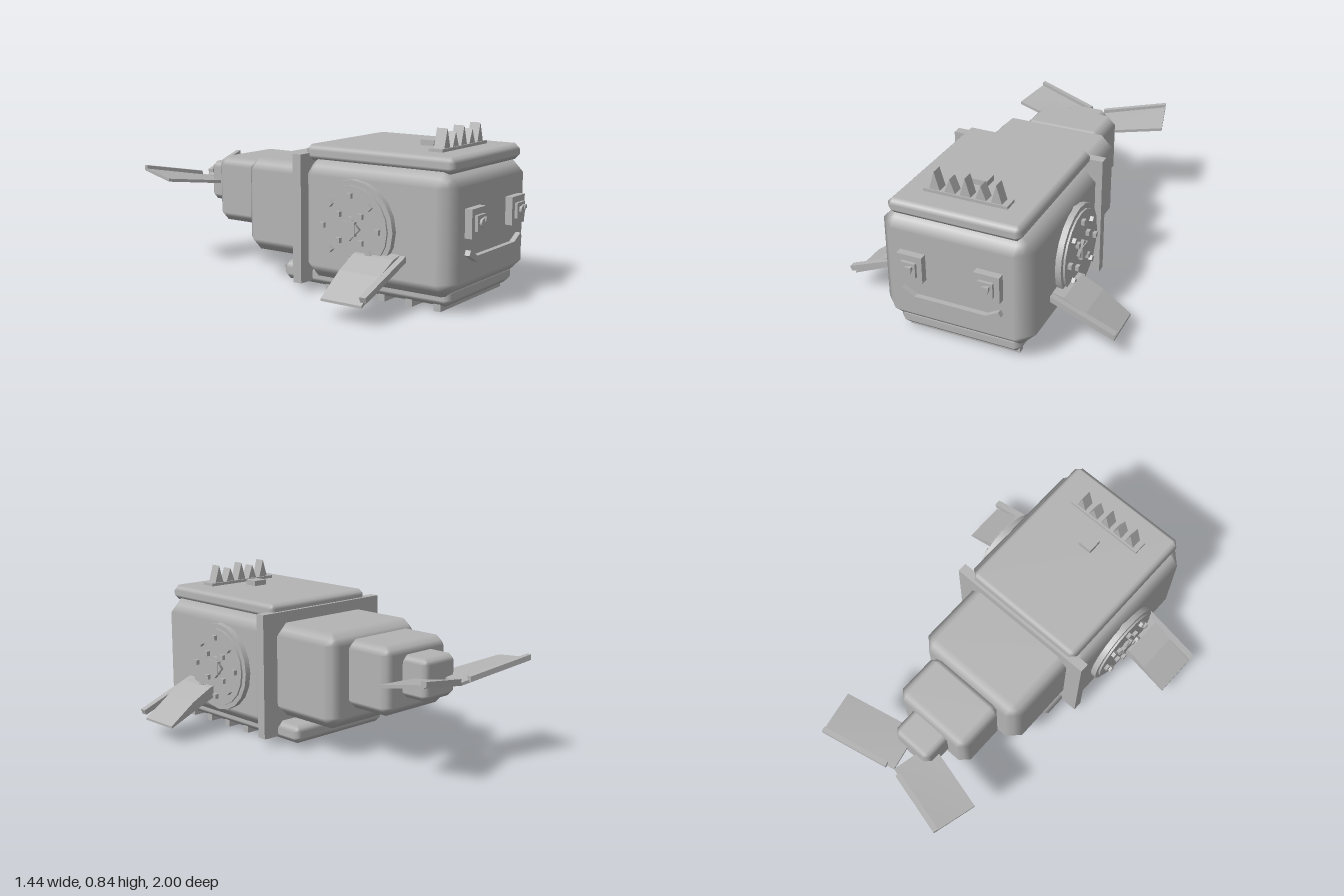
import * as THREE from 'three';
import { RoundedBoxGeometry } from 'three/addons/geometries/RoundedBoxGeometry.js';

const grey = new THREE.MeshStandardMaterial({ color: 0xb3b3b3 });
grey.name = 'plain grey';

// Box whose edges are cut by one softly shaded chamfer of size r; limits are [min, max]
function chamferBox([x0, x1], [y0, y1], [z0, z1], r) {
  const size = [x1 - x0, y1 - y0, z1 - z0];
  const geo = new RoundedBoxGeometry(...size, 1, r);
  const pos = geo.attributes.position;
  for (let i = 0; i < pos.count; i++) {
    const p = [pos.getX(i), pos.getY(i), pos.getZ(i)];
    const core = p.map((v, k) => Math.sign(v) * (size[k] / 2 - r));
    const off = p.map((v, k) => v - core[k]);
    const sum = off.reduce((a, v) => a + Math.abs(v), 0) || 1;
    pos.setXYZ(i, ...core.map((c, k) => c + (off[k] * r) / sum));
  }
  return geo.translate((x0 + x1) / 2, (y0 + y1) / 2, (z0 + z1) / 2);
}

function box([x0, x1], [y0, y1], [z0, z1]) {
  return new THREE.BoxGeometry(x1 - x0, y1 - y0, z1 - z0)
    .translate((x0 + x1) / 2, (y0 + y1) / 2, (z0 + z1) / 2);
}

// Thin slab spanned by four corners, mirrored by side s
function slab(s, innerRear, outerRear, innerFront, outerFront, thick) {
  const geo = new THREE.BoxGeometry(1, 1, 1);
  const pos = geo.attributes.position;
  const corners = [innerRear, outerRear, innerFront, outerFront].map(c => new THREE.Vector3(...c));
  for (let i = 0; i < pos.count; i++) {
    const u = s * pos.getX(i) + 0.5, v = pos.getZ(i) + 0.5;
    const p = corners[0].clone().lerp(corners[1], u)
      .lerp(corners[2].clone().lerp(corners[3], u), v);
    pos.setXYZ(i, s * p.x, p.y + pos.getY(i) * thick, p.z);
  }
  geo.computeVertexNormals();
  return geo;
}

// Extrude an outline from z0 to z1
function prism(points, z0, z1) {
  const shape = new THREE.Shape(points.map(p => new THREE.Vector2(...p)));
  return new THREE.ExtrudeGeometry(shape, { depth: z1 - z0, bevelEnabled: false }).translate(0, 0, z0);
}

export function createModel() {
  const model = new THREE.Group();
  const add = (name, geo, parent = model) => {
    const mesh = new THREE.Mesh(geo, grey);
    mesh.name = name;
    parent.add(mesh);
    return mesh;
  };

  // Body and tapering tail
  add('body', chamferBox([-0.39, 0.39], [0.07, 0.675], [0.06, 0.93], 0.08));
  add('collar', box([-0.41, 0.41], [0.05, 0.693], [0.05, 0.1]));
  add('tailBase', chamferBox([-0.32, 0.32], [0.15, 0.635], [-0.345, 0.16], 0.062));
  add('tailMiddle', chamferBox([-0.225, 0.225], [0.26, 0.605], [-0.62, -0.325], 0.045));
  add('tailEnd', chamferBox([-0.115, 0.115], [0.345, 0.555], [-0.765, -0.59], 0.03));

  // Top and belly plates
  add('topPlate', chamferBox([-0.34, 0.34], [0.655, 0.735], [0.067, 0.91], 0.028));
  add('bellyPlate', chamferBox([-0.32, 0.32], [0.03, 0.125], [-0.095, 0.885], 0.032));
  for (let i = 0; i < 5; i++) {
    const z = 0.185 + i * 0.156;
    add('bellyRib', box([-0.295, 0.295], [0, 0.035], [z - 0.019, z + 0.019]));
  }

  // Spout crown
  add('crownBase', box([-0.215, 0.215], [0.73, 0.75], [0.703, 0.777]));
  for (let i = -2; i <= 2; i++) {
    const x = i * 0.079, top = i % 2 ? 0.82 : 0.842;
    add('crownSpike', prism([[x - 0.028, 0.748], [x + 0.028, 0.748], [x, top]], 0.713, 0.77));
  }
  add('blowhole', box([-0.039, 0.039], [0.73, 0.763], [0.55, 0.625]));

  // Mouth
  add('mouth', box([-0.19, 0.19], [0.24, 0.267], [0.92, 0.957]));

  for (const s of [1, -1]) {
    const corner = add('mouthCorner', new THREE.BoxGeometry(0.085, 0.027, 0.036));
    corner.position.set(s * 0.218, 0.27, 0.939);
    corner.rotation.z = s * 0.5;

    // Eye
    const eye = new THREE.Group();
    eye.name = 'eye';
    eye.position.set(s * 0.197, 0.427, 0);
    model.add(eye);
    add('eyePlate', box([-0.065, 0.065], [-0.069, 0.069], [0.92, 0.967]), eye);
    add('iris', box([-0.038, 0.038], [-0.038, 0.038], [0.96, 0.982]), eye);
    add('pupil', new THREE.CylinderGeometry(0.022, 0.022, 0.03, 8)
      .rotateX(Math.PI / 2).translate(0, 0, 0.979), eye);
    const glint = add('eyeGlint', new THREE.BoxGeometry(0.018, 0.018, 0.02), eye);
    glint.position.set(0.016, 0.016, 0.99);

    // Side wheel with hub and studs, its axis pointing outwards
    const wheel = new THREE.Group();
    wheel.name = 'sideWheel';
    wheel.position.set(s * 0.38, 0.37, 0.41);
    wheel.rotation.z = -s * Math.PI / 2;
    model.add(wheel);
    add('wheelRim', new THREE.CylinderGeometry(0.23, 0.23, 0.04, 20).translate(0, 0.02, 0), wheel);
    add('wheelFace', new THREE.CylinderGeometry(0.205, 0.205, 0.05, 20).translate(0, 0.025, 0), wheel);
    add('hub', new THREE.BoxGeometry(0.07, 0.03, 0.07).translate(0, 0.055, 0), wheel);
    add('hubDiamond', new THREE.CylinderGeometry(0.06, 0.06, 0.025, 4).translate(0, 0.053, 0), wheel);
    for (let i = 0; i < 12; i++) {
      const outer = i < 8;
      const a = outer ? i * Math.PI / 4 : (i + 0.5) * Math.PI / 2;
      const r = outer ? 0.157 : 0.09;
      const stud = add('stud', new THREE.BoxGeometry(0.025, 0.025, 0.025), wheel);
      stud.position.set(Math.cos(a) * r, 0.056, Math.sin(a) * r);
      stud.rotation.y = outer ? -a : 0;
    }

    // Side fin with a bar along its front edge
    const outline = [[0.35, 0.277], [0.45, 0.255], [0.56, 0.198], [0.705, 0.095],
      [0.705, 0.083], [0.55, 0.15], [0.35, 0.232]];
    add('sideFin', prism(outline.map(([x, y]) => [s * x, y]), 0.44, 0.665));
    const bar = add('finBar', new THREE.BoxGeometry(0.37, 0.028, 0.035));
    bar.position.set(s * 0.54, 0.192, 0.678);
    bar.rotation.z = -s * 0.37;

    // Tail fluke with a bar along its rear edge
    add('tailFluke', slab(s, [0, 0.445, -0.89], [0.382, 0.52, -0.99],
      [0.05, 0.437, -0.667], [0.435, 0.488, -0.767], 0.016));
    add('flukeBar', slab(s, [0.035, 0.465, -0.913], [0.38, 0.53, -1.0],
      [0.042, 0.465, -0.888], [0.387, 0.53, -0.975], 0.028));
  }
  return model;
}
